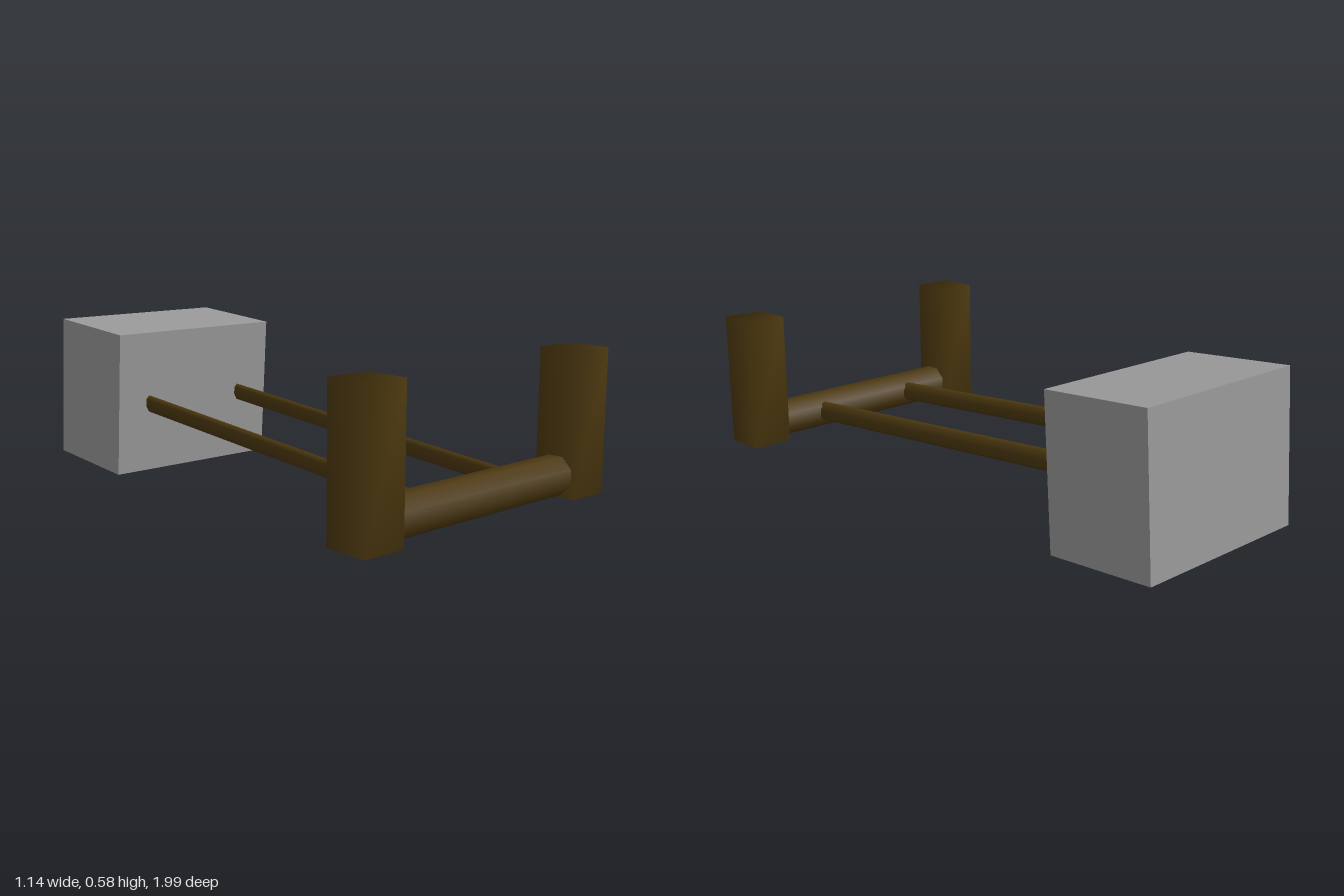
import * as THREE from 'three';
import { mergeVertices } from 'three/addons/utils/BufferGeometryUtils.js';

export function createModel() {
  const model = new THREE.Group();
  const wood = new THREE.MeshStandardMaterial({ color: 0x4c380f });
  wood.name = 'darkWood';
  const stone = new THREE.MeshStandardMaterial({ color: 0x999999 });
  stone.name = 'greyStone';

  const add = (name, geometry, material, x, y, z) => {
    const mesh = new THREE.Mesh(geometry, material);
    mesh.name = name;
    mesh.position.set(x, y, z);
    model.add(mesh);
    return mesh;
  };

  // Box with one shared normal per corner, for soft shading
  const softBox = (w, h, d) => {
    const box = new THREE.BoxGeometry(w, h, d);
    box.deleteAttribute('normal');
    box.deleteAttribute('uv');
    const merged = mergeVertices(box);
    merged.computeVertexNormals();
    return merged;
  };

  // Heavy block, leaning slightly forward
  const block = add('block', new THREE.BoxGeometry(0.722, 0.553, 0.421), stone, -0.014, 0.291, -0.769);
  block.rotation.x = 0.067;

  // Crossbar between the grips
  const barGeometry = new THREE.CylinderGeometry(0.071, 0.071, 0.83, 8);
  barGeometry.rotateY(Math.PI / 8).rotateZ(Math.PI / 2);
  const bar = add('crossbar', barGeometry, wood, 0, 0.152, 0.91);
  bar.rotation.y = 0.01;

  for (const side of [-1, 1]) {
    const label = side < 0 ? 'right' : 'left';

    // Upright grip at each end of the crossbar
    const grip = add(label + 'Grip', softBox(0.159, 0.503, 0.159), wood, side * 0.491, 0.329, 0.911 - side * 0.005);
    grip.rotation.y = 0.01;

    // Flattened shaft rising from the crossbar into the block
    const start = new THREE.Vector3(side * 0.219 + 0.006, 0.157, 0.87);
    const end = new THREE.Vector3(side * 0.219 - 0.01, 0.271, -0.6);
    const shaftGeometry = new THREE.CylinderGeometry(1, 1, start.distanceTo(end), 8);
    shaftGeometry.rotateX(Math.PI / 2).scale(0.022, 0.037, 1).rotateZ(0.25);
    const middle = start.clone().add(end).multiplyScalar(0.5);
    const shaft = add(label + 'Shaft', shaftGeometry, wood, middle.x, middle.y, middle.z);
    shaft.lookAt(start);
  }

  return model;
}
